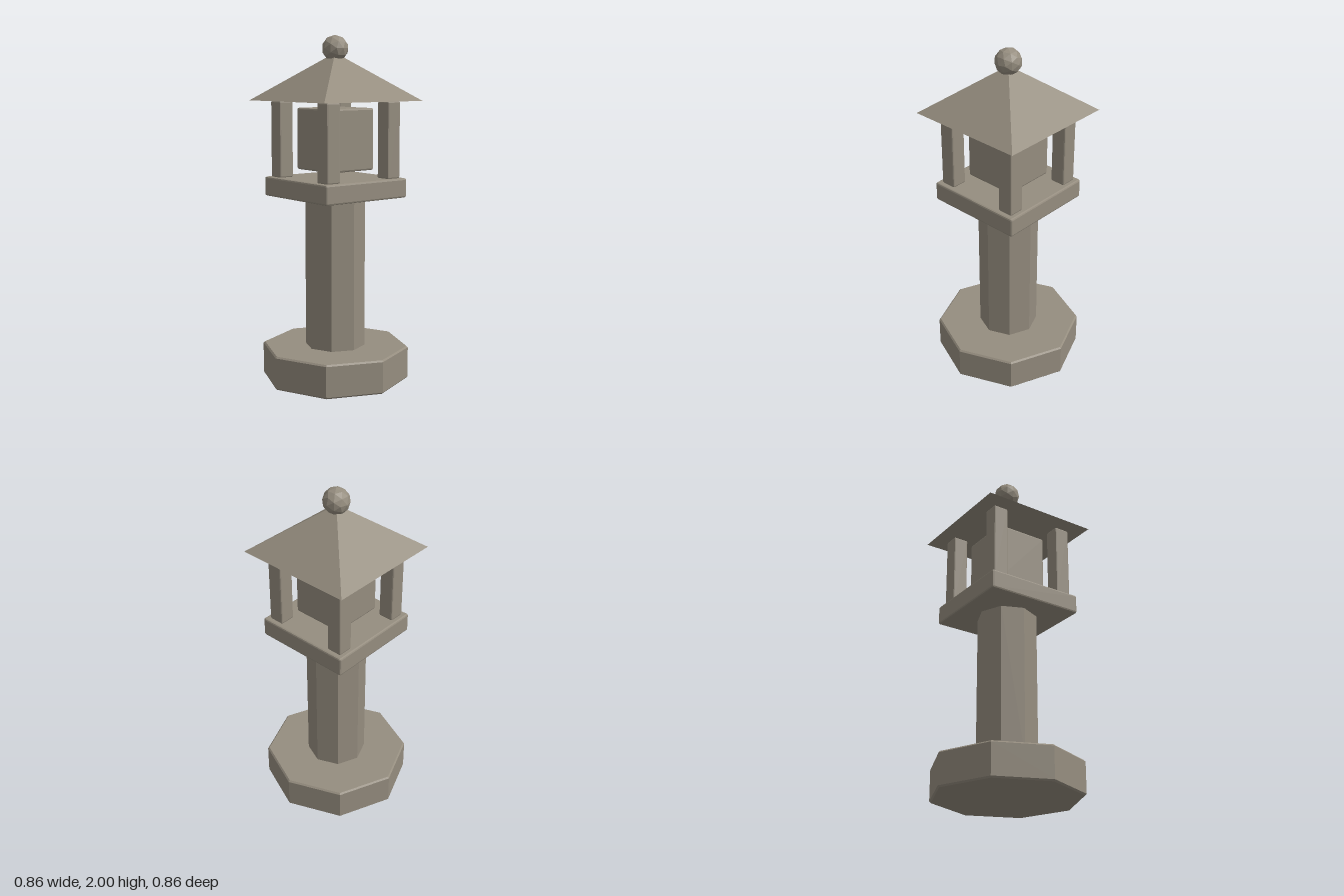
import * as THREE from 'three';
import { RoundedBoxGeometry } from 'three/addons/geometries/RoundedBoxGeometry.js';

const stone = new THREE.MeshStandardMaterial({ color: 0x958d7f, flatShading: true });
stone.name = 'stone';

export function createModel() {
  const group = new THREE.Group();
  group.name = 'stoneLantern';

  const add = (name, geometry, x, y, z) => {
    const mesh = new THREE.Mesh(geometry, stone);
    mesh.name = name;
    mesh.position.set(x, y, z);
    group.add(mesh);
    return mesh;
  };

  // Eight-sided drum with chamfered rims, corners on the axes
  const octagon = (r, h, b) => new THREE.LatheGeometry([
    [0, 0], [r - b, 0], [r, b], [r, h - b], [r - b, h], [0, h],
  ].map(([x, y]) => new THREE.Vector2(x, y)), 8);

  // Block with a one-step bevel
  const block = (w, h, bevel) => new RoundedBoxGeometry(w, h, w, 1, bevel);

  add('base', octagon(0.43, 0.195, 0.009), 0, 0.004, 0);
  add('pillar', octagon(0.174, 0.9, 0.004), 0, 0.19, 0);
  add('platform', block(0.584, 0.112, 0.01), 0, 1.134, 0);
  add('lightBox', block(0.314, 0.354, 0.01), 0, 1.412, 0);

  // Four corner posts
  for (const x of [-1, 1]) {
    for (const z of [-1, 1]) add('post', block(0.092, 0.44, 0.008), x * 0.218, 1.408, z * 0.218);
  }

  // Pyramid roof
  const roof = add('roof', new THREE.ConeGeometry(0.352 * Math.SQRT2, 0.27, 4), 0, 1.765, 0);
  roof.rotation.y = Math.PI / 4;

  // Faceted ball on top
  add('finial', new THREE.IcosahedronGeometry(0.076, 1), 0, 1.924, 0);

  return group;
}
